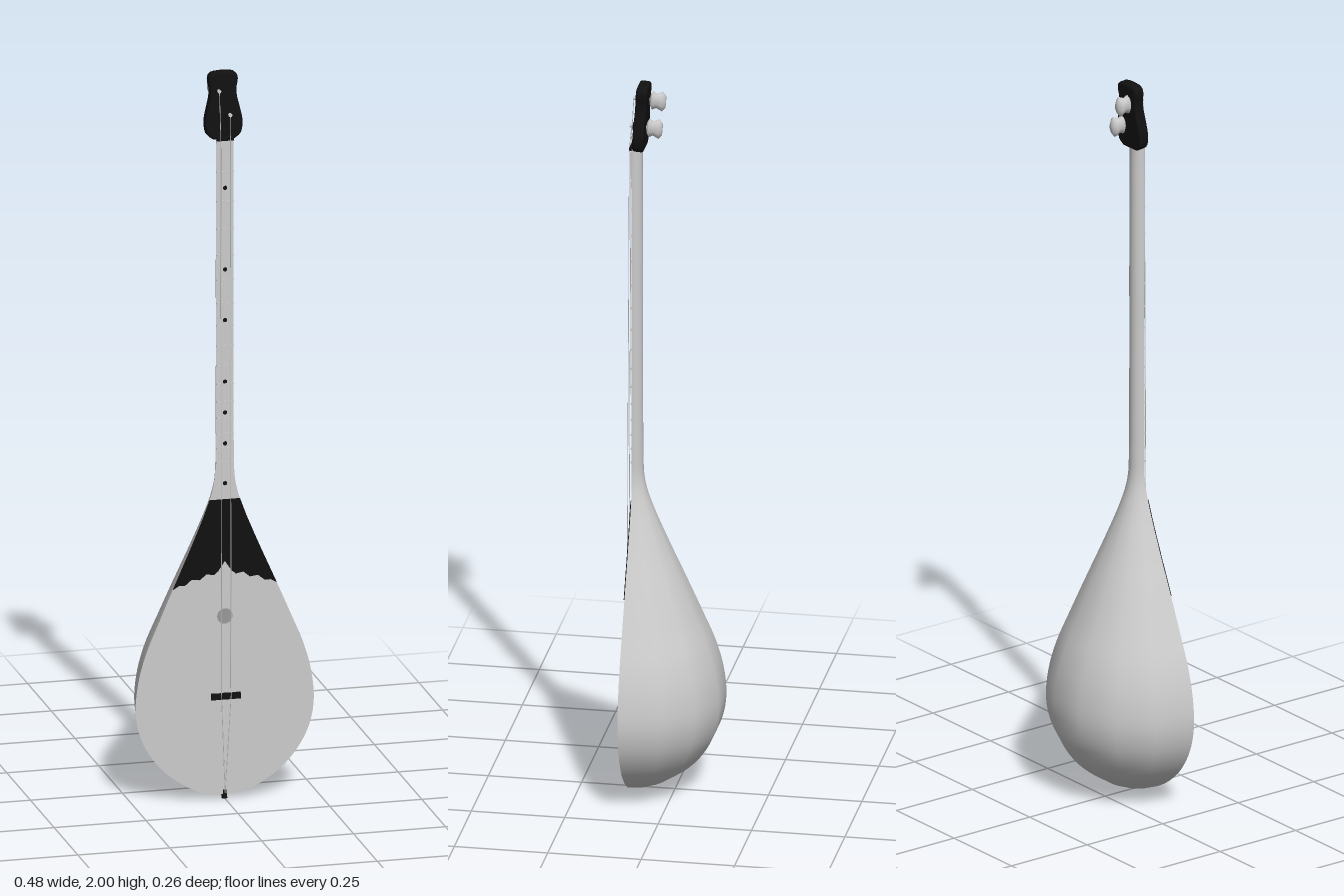
import * as THREE from 'three';

const grey = new THREE.MeshStandardMaterial({ color: 0xcccccc, side: THREE.DoubleSide });
const black = new THREE.MeshStandardMaterial({ color: 0x111111, side: THREE.DoubleSide });
const FRONT = 0.11;

// Half-width of bowl and neck against height
const profile = new THREE.CatmullRomCurve3([
  [0.004, 0.012], [0.05, 0.016], [0.105, 0.04], [0.165, 0.085], [0.205, 0.135], [0.23, 0.187],
  [0.242, 0.25], [0.236, 0.33], [0.215, 0.41], [0.178, 0.5], [0.135, 0.6], [0.091, 0.7],
  [0.05, 0.8], [0.034, 0.85], [0.027, 0.89], [0.025, 0.95], [0.024, 1.2], [0.024, 1.5], [0.023, 1.82],
].map(([x, y]) => new THREE.Vector3(x, y, 0)), false, 'centripetal');
const outline = profile.getPoints(108);

function widthAt(y) {
  const i = Math.max(1, outline.findIndex(p => p.y >= y));
  const a = outline[i - 1], b = outline[i];
  return THREE.MathUtils.lerp(a.x, b.x, (y - a.y) / (b.y - a.y));
}

// Faceted half-round cross-section scaled along the profile
function bowlGeometry() {
  const half = [[1, 0], [0.9, 0.46], [0.63, 0.8], [0.23, 1]];
  const section = [...half, ...half.map(([x, z]) => [-x, z]).reverse()];
  const n = section.length, pos = [], index = [];
  outline.forEach((p, j) => {
    for (const [x, z] of section) pos.push(x * p.x, p.y, FRONT - z * p.x * 0.98);
    if (j === 0) return;
    for (let i = 0; i < n - 1; i++) {
      const a = (j - 1) * n + i, d = a + n;
      index.push(a, a + 1, d + 1, a, d + 1, d);
    }
  });
  const g = new THREE.BufferGeometry();
  g.setAttribute('position', new THREE.Float32BufferAttribute(pos, 3));
  g.setIndex(index);
  g.computeVertexNormals();
  return g;
}

function mirroredShape(points) {
  return new THREE.Shape([
    ...points.map(p => new THREE.Vector2(p.x, p.y)),
    ...points.map(p => new THREE.Vector2(-p.x, p.y)).reverse(),
  ]);
}

export function createModel() {
  const model = new THREE.Group();
  const add = (name, geo, mat, x = 0, y = 0, z = 0, parent = model) => {
    const m = new THREE.Mesh(geo, mat);
    m.name = name;
    m.position.set(x, y, z);
    parent.add(m);
    return m;
  };
  const rod = (name, points, r) => {
    const path = new THREE.CurvePath();
    for (let i = 1; i < points.length; i++) {
      path.add(new THREE.LineCurve3(new THREE.Vector3(...points[i - 1]), new THREE.Vector3(...points[i])));
    }
    add(name, new THREE.TubeGeometry(path, 48, r, 5), grey);
  };

  // Bowl, neck back and flat front
  add('bowlAndNeck', bowlGeometry(), grey);
  add('soundboard', new THREE.ShapeGeometry(mirroredShape(outline)), grey, 0, 0, FRONT);
  add('fingerboard', new THREE.BoxGeometry(0.046, 0.99, 0.004), grey, 0, 1.325, FRONT + 0.001);
  add('soundHole', new THREE.CircleGeometry(0.021, 24),
    new THREE.MeshStandardMaterial({ color: 0x999999 }), 0, 0.503, FRONT + 0.0012);

  // Dark guard with a scalloped lower edge
  const lower = [[0, 0.655], [0.018, 0.628], [0.03, 0.618], [0.05, 0.622], [0.068, 0.607],
    [0.09, 0.61], [0.108, 0.595], [0.125, 0.595]].map(([x, y]) => ({ x, y }));
  const sides = [0.585, 0.63, 0.68, 0.73, 0.78, 0.825].map(y => ({ x: widthAt(y), y }));
  add('guard', new THREE.ExtrudeGeometry(mirroredShape([...lower, ...sides]),
    { depth: 0.002, bevelEnabled: false }), black, 0, 0, FRONT);

  // Frets, position dots and nut
  for (let n = 1; n <= 15; n++) {
    add('fret', new THREE.BoxGeometry(0.047, 0.004, 0.004), grey,
      0, 0.285 + 1.53 * 2 ** (-n / 12), FRONT + 0.003);
  }
  for (const y of [1.685, 1.46, 1.32, 1.15, 1.065, 0.98, 0.87]) {
    add('positionDot', new THREE.CircleGeometry(0.006, 10), black, 0, y, FRONT + 0.0036);
  }
  add('nut', new THREE.BoxGeometry(0.046, 0.008, 0.012), black, 0, 1.82, FRONT + 0.003);

  // Bridge and tail pin
  add('bridge', new THREE.BoxGeometry(0.08, 0.016, 0.008), black, 0, 0.285, FRONT + 0.012);
  for (const x of [-0.03, 0, 0.03]) {
    add('bridgeFoot', new THREE.BoxGeometry(0.014, 0.012, 0.01), black, x, 0.285, FRONT + 0.004);
  }
  add('tailPin', new THREE.CylinderGeometry(0.006, 0.008, 0.024, 10), black, 0, 0.012, FRONT - 0.004);

  // Head, leaning slightly back
  const head = new THREE.Group();
  head.name = 'head';
  head.position.set(0, 1.815, 0.094);
  head.rotation.x = -0.06;
  model.add(head);
  const headSide = new THREE.SplineCurve([[0.026, 0.007], [0.041, 0.02], [0.045, 0.05], [0.038, 0.085],
    [0.031, 0.115], [0.03, 0.14], [0.034, 0.163], [0.028, 0.176], [0.004, 0.179]]
    .map(p => new THREE.Vector2(...p))).getPoints(24);
  add('headPlate', new THREE.ExtrudeGeometry(mirroredShape(headSide), {
    depth: 0.018, bevelThickness: 0.006, bevelSize: 0.006, bevelSegments: 2,
  }), black, 0, 0, -0.009, head);

  // Tuning pegs: flattened knob behind, string post in front
  const knob = new THREE.LatheGeometry([[0, -0.021], [0.009, -0.02], [0.015, -0.012], [0.011, 0.004],
    [0.014, 0.015], [0.008, 0.021], [0, 0.021]].map(p => new THREE.Vector2(...p)), 10);
  knob.rotateX(Math.PI / 2);
  for (const [x, y] of [[-0.015, 0.135], [0.014, 0.068]]) {
    const shaft = add('pegShaft', new THREE.CylinderGeometry(0.005, 0.005, 0.068, 10), grey, x, y, -0.006, head);
    shaft.rotation.x = Math.PI / 2;
    add('pegKnob', knob, grey, x, y, -0.038, head).scale.y = 1.9;
    const collar = add('pegCollar', new THREE.CylinderGeometry(0.01, 0.011, 0.006, 12), black, x, y, 0.017, head);
    collar.rotation.x = Math.PI / 2;
    // String from tail pin over bridge and nut to its post
    const side = Math.sign(x) * 0.013;
    rod('string', [[0, 0.015, 0.114], [side, 0.285, 0.127], [side, 1.82, 0.12], [x, 1.815 + y, 0.113]], 0.001);
  }
  return model;
}
